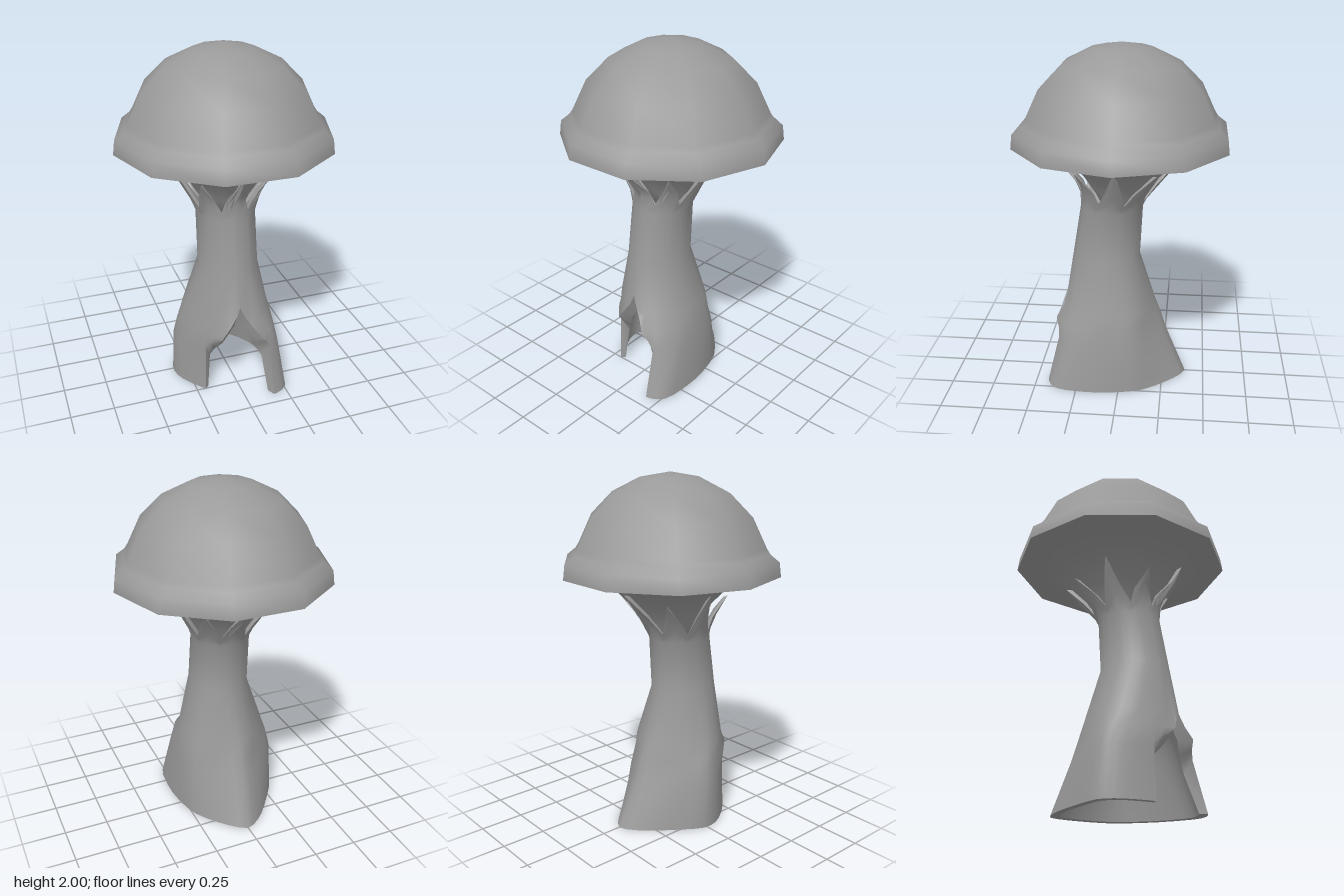
import * as THREE from 'three';
import { toCreasedNormals } from 'three/addons/utils/BufferGeometryUtils.js';

const grey = new THREE.MeshStandardMaterial({ color: 0x9a9a9a });
grey.name = 'plain grey';

const AXIS = [-0.015, 0.07];

// Closed outline through twelve [x, z] points, starting at the front and going to +x
const outline = points => new THREE.CatmullRomCurve3(
  points.map(([x, z]) => new THREE.Vector3(x, 0, z)), true, 'catmullrom', 0.4);

const ellipse = (cx, hw, cz, hd) => outline(Array.from({ length: 12 }, (_, i) =>
  [cx + hw * Math.sin(i * Math.PI / 6), cz + hd * Math.cos(i * Math.PI / 6)]));

// Stem sections by height: lopsided at the foot, oval above
const SECTIONS = [
  [0, outline([[-0.01, 0.4], [0.17, 0.43], [0.27, 0.36], [0.29, 0.12], [0.245, -0.12], [0.125, -0.29],
    [0, -0.39], [-0.12, -0.31], [-0.23, -0.17], [-0.325, -0.02], [-0.31, 0.1], [-0.2, 0.25]])],
  [0.28, outline([[-0.01, 0.39], [0.17, 0.36], [0.25, 0.25], [0.265, 0.05], [0.235, -0.1], [0.12, -0.2],
    [-0.02, -0.27], [-0.14, -0.2], [-0.24, -0.11], [-0.32, 0], [-0.3, 0.1], [-0.2, 0.235]])],
  [0.39, outline([[-0.01, 0.42], [0.17, 0.33], [0.235, 0.2], [0.25, 0.05], [0.22, -0.08], [0.11, -0.17],
    [-0.02, -0.235], [-0.13, -0.17], [-0.23, -0.08], [-0.3, 0.02], [-0.27, 0.13], [-0.19, 0.26]])],
  [0.48, outline([[-0.01, 0.335], [0.12, 0.29], [0.205, 0.19], [0.235, 0.06], [0.2, -0.08], [0.1, -0.165],
    [-0.02, -0.2], [-0.13, -0.155], [-0.23, -0.06], [-0.275, 0.05], [-0.24, 0.17], [-0.14, 0.28]])],
  [0.78, ellipse(-0.01, 0.17, 0.09, 0.195)],
  [1.08, ellipse(-0.012, 0.168, 0.058, 0.178)],
  [1.2, ellipse(-0.01, 0.215, 0.03, 0.21)],
  [1.3, ellipse(-0.01, 0.28, 0.02, 0.31)],
  [1.4, ellipse(-0.01, 0.32, 0.01, 0.37)],
];

function stemPoint(deg, y, scale) {
  let k = 0;
  while (k < SECTIONS.length - 2 && y > SECTIONS[k + 1][0]) k++;
  const [ya, a] = SECTIONS[k], [yb, b] = SECTIONS[k + 1];
  const u = ((deg + 360) % 360) / 360;
  const p = a.getPoint(u).lerp(b.getPoint(u), (y - ya) / (yb - ya));
  return [AXIS[0] + (p.x - AXIS[0]) * scale, y, AXIS[1] + (p.z - AXIS[1]) * scale];
}

// Lower edge of the stem: zero, except over the pointed doorway
const DOOR = [[0, 0.57], [6, 0.51], [13, 0.45], [17, 0.385], [23, 0.34], [28.5, 0.29]];
function doorHeight(deg) {
  const hit = DOOR.find(d => d[0] === Math.abs(deg));
  return hit ? hit[1] : 0;
}

// Upper edge: eight narrow teeth, the diagonal ones shorter
function topHeight(deg) {
  const n = Math.round(deg / 45);
  const off = Math.min(1, Math.abs(deg - n * 45) / 22.5);
  const tip = n === 0 ? 1.4 : n % 2 ? 1.32 : 1.37;
  return THREE.MathUtils.lerp(tip, 1.13, off ** 0.75);
}

// Each column runs up the outside, over the tooth, and back down inside the hollow foot
function stemGeometry() {
  const half = [6, 13, 17, 23, 28.5, 29.5, 36];
  for (let d = 45; d < 180; d += 11.25) half.push(d);
  const angles = [...half.map(d => -d).reverse(), 0, ...half, 180];

  const columns = angles.map(deg => {
    const door = doorHeight(deg), top = topHeight(deg);
    const column = [0, 0.28, 0.39, 0.48, 0.78, 1.08].map(y => stemPoint(deg, Math.max(y, door), 1));
    const teeth = [0.35, 0.7, 1].map(t => [t, THREE.MathUtils.lerp(1.08, top, t)]);
    for (const [, y] of teeth) column.push(stemPoint(deg, y, 1));
    for (const [t, y] of teeth.reverse()) column.push(stemPoint(deg, y - 0.01 * t, 0.75 + 0.17 * t));
    column.push(stemPoint(deg, 1, 0), stemPoint(deg, 0.75, 0));
    for (const level of [0.48, 0.39, 0.28, 0]) {
      const y = Math.max(level, door && door - 0.08);
      column.push(stemPoint(deg, y, 0.88 - 0.4 * y));
    }
    return column;
  });

  const n = columns[0].length, index = [];
  for (let i = 0; i < columns.length; i++) {
    const a = i * n, b = ((i + 1) % columns.length) * n;
    for (let j = 0; j < n; j++) {
      const k = (j + 1) % n;
      index.push(a + j, b + j, b + k, a + j, b + k, a + k);
    }
  }
  const g = new THREE.BufferGeometry();
  g.setAttribute('position', new THREE.Float32BufferAttribute(columns.flat(2), 3));
  g.setIndex(index);
  return toCreasedNormals(g, 0.9);
}

// Ten-sided cap with a rolled rim and a funnel-shaped underside
function capGeometry() {
  const profile = [
    [0, 1.04], [0.1, 1.06], [0.15, 1.16], [0.22, 1.27], [0.31, 1.36], [0.41, 1.41], [0.615, 1.45],
    [0.605, 1.53], [0.555, 1.57], [0.535, 1.6], [0.455, 1.765], [0.33, 1.89], [0.17, 1.97], [0, 2],
  ].map(p => new THREE.Vector2(...p));
  const g = new THREE.LatheGeometry(profile, 10, Math.PI / 10);
  g.deleteAttribute('uv');
  g.deleteAttribute('normal');
  return toCreasedNormals(g, 1);
}

export function createModel() {
  const group = new THREE.Group();
  group.name = 'mushroom';
  const add = (name, geometry) => {
    const mesh = new THREE.Mesh(geometry, grey);
    mesh.name = name;
    group.add(mesh);
  };
  add('cap', capGeometry());
  add('stem', stemGeometry());
  return group;
}
